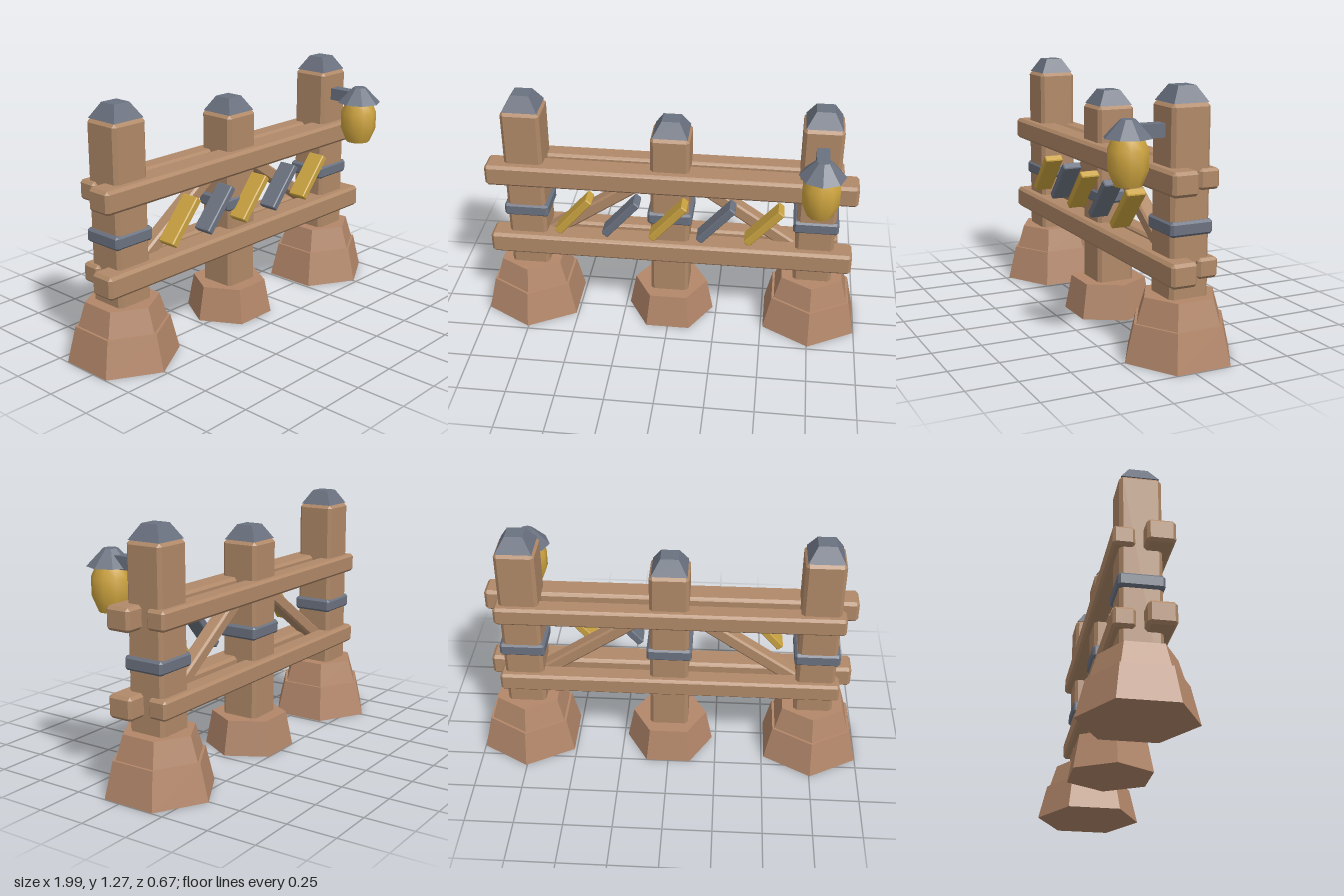
import * as THREE from 'three';
import { ConvexGeometry } from 'three/addons/geometries/ConvexGeometry.js';

const material = (name, color, flatShading = true) => {
  const m = new THREE.MeshStandardMaterial({ color, flatShading });
  m.name = name;
  return m;
};

// Box with every edge cut by a flat chamfer c
function chamferBox(w, h, d, c) {
  const points = [];
  for (const sx of [-1, 1]) for (const sy of [-1, 1]) for (const sz of [-1, 1]) {
    const [x, y, z] = [w / 2, h / 2, d / 2];
    points.push(
      new THREE.Vector3(sx * x, sy * (y - c), sz * (z - c)),
      new THREE.Vector3(sx * (x - c), sy * y, sz * (z - c)),
      new THREE.Vector3(sx * (x - c), sy * (y - c), sz * z));
  }
  return new ConvexGeometry(points);
}

export function createModel() {
  const model = new THREE.Group();
  model.name = 'fence';
  const wood = material('wood', 0xb08968);
  const clay = material('base brown', 0xb3876a);
  const iron = material('iron grey', 0x6b7280);
  const gold = material('gold', 0xc9a240);
  const Z = -0.05; // depth of the post line

  const add = (parent, name, geometry, mat, x, y, z) => {
    const mesh = new THREE.Mesh(geometry, mat);
    mesh.name = name;
    mesh.position.set(x, y, z);
    parent.add(mesh);
    return mesh;
  };

  // Tapered six-sided block from y0 to y1
  const block = (parent, name, rTop, rBottom, y0, y1, turn) => {
    const g = new THREE.CylinderGeometry(rTop, rBottom, y1 - y0, 6).rotateY(turn);
    add(parent, name, g, clay, 0, (y0 + y1) / 2, 0);
  };

  // Posts with base, band and cap
  for (const x of [-0.755, 0, 0.755]) {
    const post = new THREE.Group();
    post.name = 'post';
    post.position.set(x, 0, Z);
    model.add(post);
    const top = x === 0 ? 1.1 : 1.2;
    add(post, 'postShaft', chamferBox(0.2, top - 0.1, 0.2, 0.017), wood, 0, (top + 0.1) / 2, 0);
    add(post, 'band', chamferBox(0.232, 0.07, 0.218, 0.012), iron, 0, 0.635, 0);
    const cap = new THREE.CylinderGeometry(0.045 * Math.SQRT2, 0.09 * Math.SQRT2, 0.075, 4).rotateY(Math.PI / 4);
    add(post, 'cap', cap, iron, 0, top + 0.0375, 0);
    if (x === 0) {
      block(post, 'base', 0.195, 0.23, 0, 0.18, Math.PI / 6);
    } else {
      block(post, 'baseLower', 0.235, 0.28, 0, 0.183, 0);
      block(post, 'baseUpper', 0.183, 0.222, 0.18, 0.305, 0);
    }
  }

  // Paired rails in front of and behind the posts
  for (const y of [0.442, 0.857]) {
    add(model, 'frontRail', chamferBox(1.9, 0.115, 0.135, 0.015), wood, 0, y, 0.0275);
    add(model, 'backRail', chamferBox(1.76, 0.097, 0.104, 0.013), wood, 0, y, -0.132);
  }

  // Diagonal braces, mirrored about the middle post
  for (const side of [-1, 1]) {
    const brace = add(model, 'brace', chamferBox(0.68, 0.068, 0.08, 0.01), wood, side * 0.365, 0.655, Z);
    brace.rotation.z = -side * 0.6;
  }

  // Slanted slats on the front
  for (let i = -2; i <= 2; i++) {
    const slat = add(model, 'slat', chamferBox(0.263, 0.04, 0.1, 0.005), i % 2 ? iron : gold,
      i * 0.245, 0.663, i === 0 ? 0.095 : 0.085);
    slat.rotation.z = 0.855;
  }

  // Lantern hung from the left post
  const lantern = new THREE.Group();
  lantern.name = 'lantern';
  lantern.position.set(0.755, 0, 0.22);
  model.add(lantern);
  add(lantern, 'arm', new THREE.BoxGeometry(0.064, 0.064, 0.2), iron, 0, 1.077, -0.1);
  add(lantern, 'lanternRoof', new THREE.CylinderGeometry(0.035, 0.115, 0.083, 8), iron, 0, 1.0935, 0);
  const profile = [[0.064, 0.835], [0.095, 0.91], [0.095, 1.0], [0.07, 1.056]]
    .map(([r, y]) => new THREE.Vector2(r, y));
  const glow = material('lantern gold', 0xd0a640, false);
  add(lantern, 'lanternBody', new THREE.LatheGeometry(profile, 10), glow, 0, 0, 0);
  add(lantern, 'lanternBottom', new THREE.CircleGeometry(0.064, 10).rotateX(Math.PI / 2).rotateY(Math.PI / 2), glow, 0, 0.835, 0);

  return model;
}
